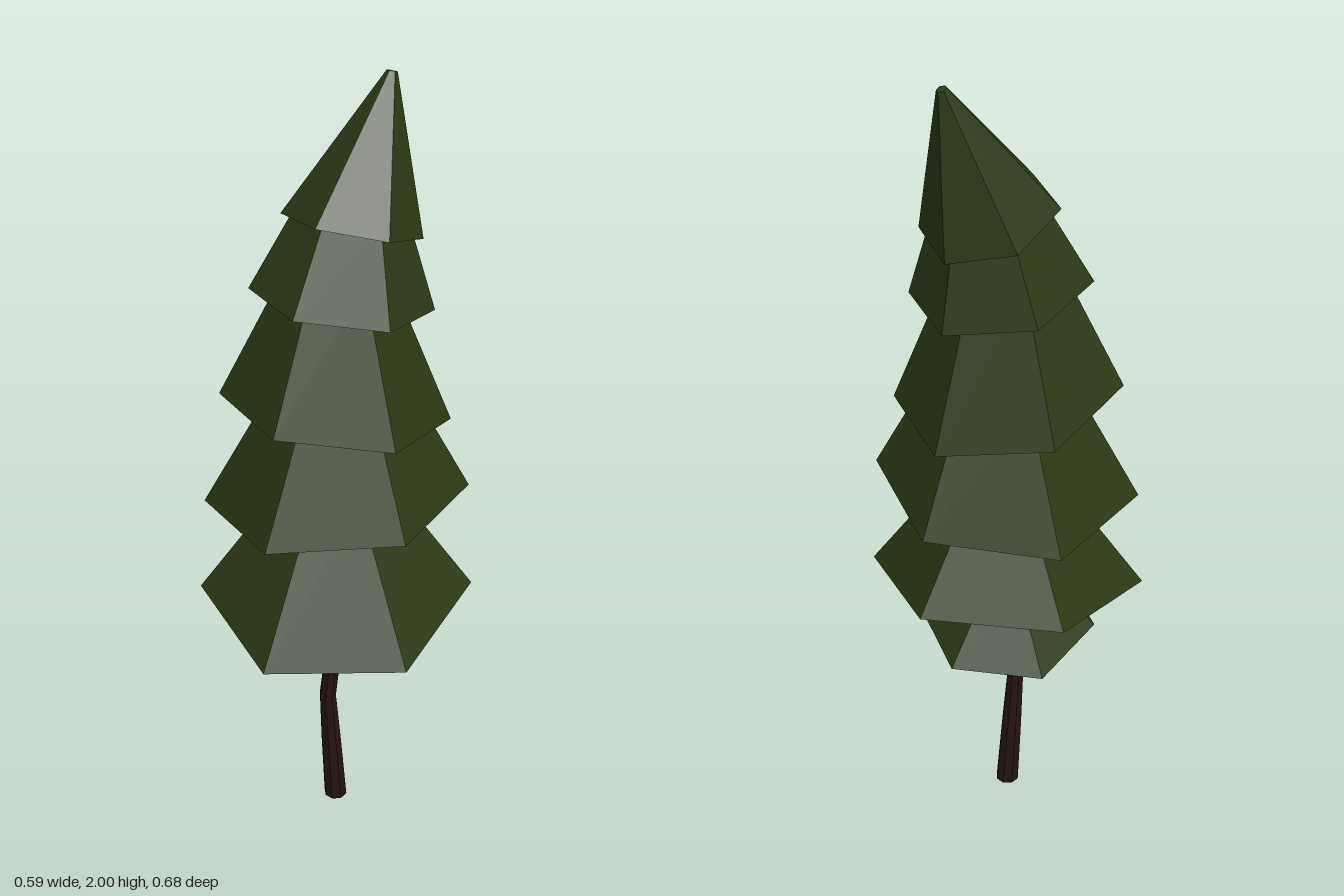
import * as THREE from 'three';

const leafMaterial = new THREE.MeshStandardMaterial({ color: 0x2b3815, flatShading: true });
const barkMaterial = new THREE.MeshStandardMaterial({ color: 0x24140f, flatShading: true });

// Skews a closed frustum: both rims are moved to their own centre and slope along x and z.
function branchTier({ bottom, top, slope }) {
  const geometry = new THREE.CylinderGeometry(top.r, bottom.r, 1, 6);
  const p = geometry.attributes.position;
  for (let i = 0; i < p.count; i++) {
    const rim = p.getY(i) > 0 ? top : bottom;
    const x = p.getX(i), z = p.getZ(i);
    p.setXYZ(i, x + rim.x, rim.y + slope[0] * x + slope[1] * z, z + rim.z);
  }
  geometry.computeVertexNormals();
  return new THREE.Mesh(geometry, leafMaterial);
}

// Bends a segmented cylinder through horizontal rings.
function bentTrunk(rings, sides) {
  const geometry = new THREE.CylinderGeometry(1, 1, 1, sides, rings.length - 1);
  const p = geometry.attributes.position;
  for (let i = 0; i < p.count; i++) {
    const ring = rings[Math.round((p.getY(i) + 0.5) * (rings.length - 1))];
    p.setXYZ(i, ring.x + p.getX(i) * ring.r, ring.y, p.getZ(i) * ring.r);
  }
  geometry.computeVertexNormals();
  return new THREE.Mesh(geometry, barkMaterial);
}

const ring = (x, y, z, r) => ({ x, y, z, r });

export function createModel() {
  const tree = new THREE.Group();
  tree.name = 'pineTree';

  // Crooked trunk
  const trunk = bentTrunk([
    ring(-0.002, 0, 0, 0.031),
    ring(-0.015, 0.2, 0, 0.027),
    ring(-0.025, 0.36, 0, 0.022),
    ring(-0.008, 0.5, 0, 0.021),
    ring(0, 0.66, 0, 0.02),
  ], 8);
  trunk.name = 'trunk';
  tree.add(trunk);

  // Tilted branch tiers, from the lowest to the leaning tip
  const tiers = [
    { bottom: ring(0, 0.562, 0, 0.227), top: ring(0, 0.74, -0.005, 0.06), slope: [-0.05, 0.167] },
    { bottom: ring(-0.001, 0.71, 0, 0.342), top: ring(0.008, 1.03, -0.012, 0.11), slope: [0.1, -0.13] },
    { bottom: ring(0, 0.986, 0, 0.322), top: ring(0.008, 1.3, 0, 0.15), slope: [0.025, 0.11] },
    { bottom: ring(-0.002, 1.23, 0, 0.273), top: ring(0.008, 1.58, 0, 0.115), slope: [-0.17, 0.05] },
    { bottom: ring(0.015, 1.505, 0, 0.212), top: ring(0.05, 1.73, -0.01, 0.115), slope: [-0.17, 0.045] },
    { bottom: ring(0.041, 1.678, 0, 0.159), top: ring(0.16, 2, -0.037, 0.012), slope: [-0.3, 0.14] },
  ];
  tiers.forEach((tier, i) => {
    const mesh = branchTier(tier);
    mesh.name = i === tiers.length - 1 ? 'treeTip' : `branchTier${i + 1}`;
    tree.add(mesh);
  });

  return tree;
}
